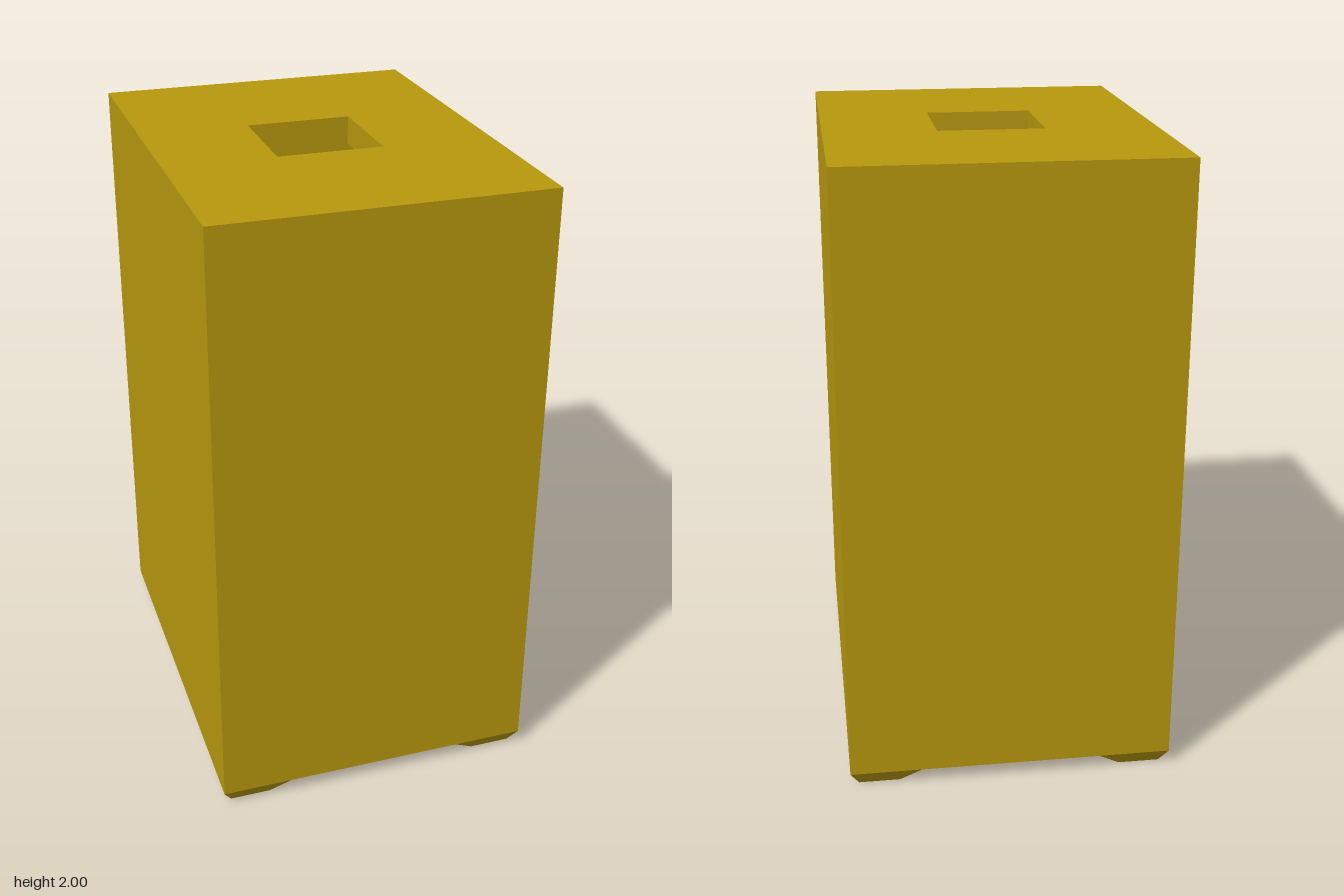
import * as THREE from 'three';

const material = new THREE.MeshStandardMaterial({ color: 0xb8980e, flatShading: true });

// Overall sizes
const HALF_X = 0.52, HALF_Z = 0.68, TOP = 2, RIM = 0.05;
const WALL = 0.085, LID = 0.09, HOLE = 0.168;

// Rectangular ring of corners, counter-clockwise from above
const rect = (x, z, y) => [[x, y, z], [x, y, -z], [-x, y, -z], [-x, y, z]];

// Joins successive rings with flat quads; optionally caps both ends
function loft(rings, capped) {
  const pos = [];
  const tri = (a, b, c) => pos.push(...a, ...b, ...c);
  for (let r = 0; r < rings.length - 1; r++) {
    const a = rings[r], b = rings[r + 1], n = a.length;
    for (let i = 0; i < n; i++) {
      const j = (i + 1) % n;
      tri(a[i], a[j], b[j]);
      tri(a[i], b[j], b[i]);
    }
  }
  if (capped) {
    const first = rings[0], last = rings[rings.length - 1];
    for (let i = 1; i < first.length - 1; i++) {
      tri(first[0], first[i + 1], first[i]);
      tri(last[0], last[i], last[i + 1]);
    }
  }
  const geometry = new THREE.BufferGeometry();
  geometry.setAttribute('position', new THREE.Float32BufferAttribute(pos, 3));
  geometry.computeVertexNormals();
  return geometry;
}

function part(name, geometry) {
  const mesh = new THREE.Mesh(geometry, material);
  mesh.name = name;
  return mesh;
}

// Triangular corner foot, tapered towards the ground
function footGeometry(sx, sz) {
  const ring = (inset, leg, y) => {
    const x = HALF_X - inset, z = HALF_Z - inset;
    const points = [[x, z], [x, z - leg], [x - leg, z]].map(([px, pz]) => [sx * px, y, sz * pz]);
    return sx * sz < 0 ? points.reverse() : points;
  };
  return loft([ring(0.028, 0.132, 0), ring(0, 0.23, RIM)], true);
}

export function createModel() {
  const model = new THREE.Group();
  model.name = 'openBottomBox';

  // Hollow body: up the outside, through the lid opening, down the inside, across the rim
  const ix = HALF_X - WALL, iz = HALF_Z - WALL;
  model.add(part('body', loft([
    rect(HALF_X, HALF_Z, RIM),
    rect(HALF_X, HALF_Z, TOP),
    rect(HOLE, HOLE, TOP),
    rect(HOLE, HOLE, TOP - LID),
    rect(ix, iz, TOP - LID),
    rect(ix, iz, RIM),
    rect(HALF_X, HALF_Z, RIM),
  ], false)));

  // Four corner feet
  for (const sx of [1, -1]) {
    for (const sz of [1, -1]) {
      const name = (sz > 0 ? 'front' : 'back') + (sx > 0 ? 'Left' : 'Right') + 'Foot';
      model.add(part(name, footGeometry(sx, sz)));
    }
  }
  return model;
}
